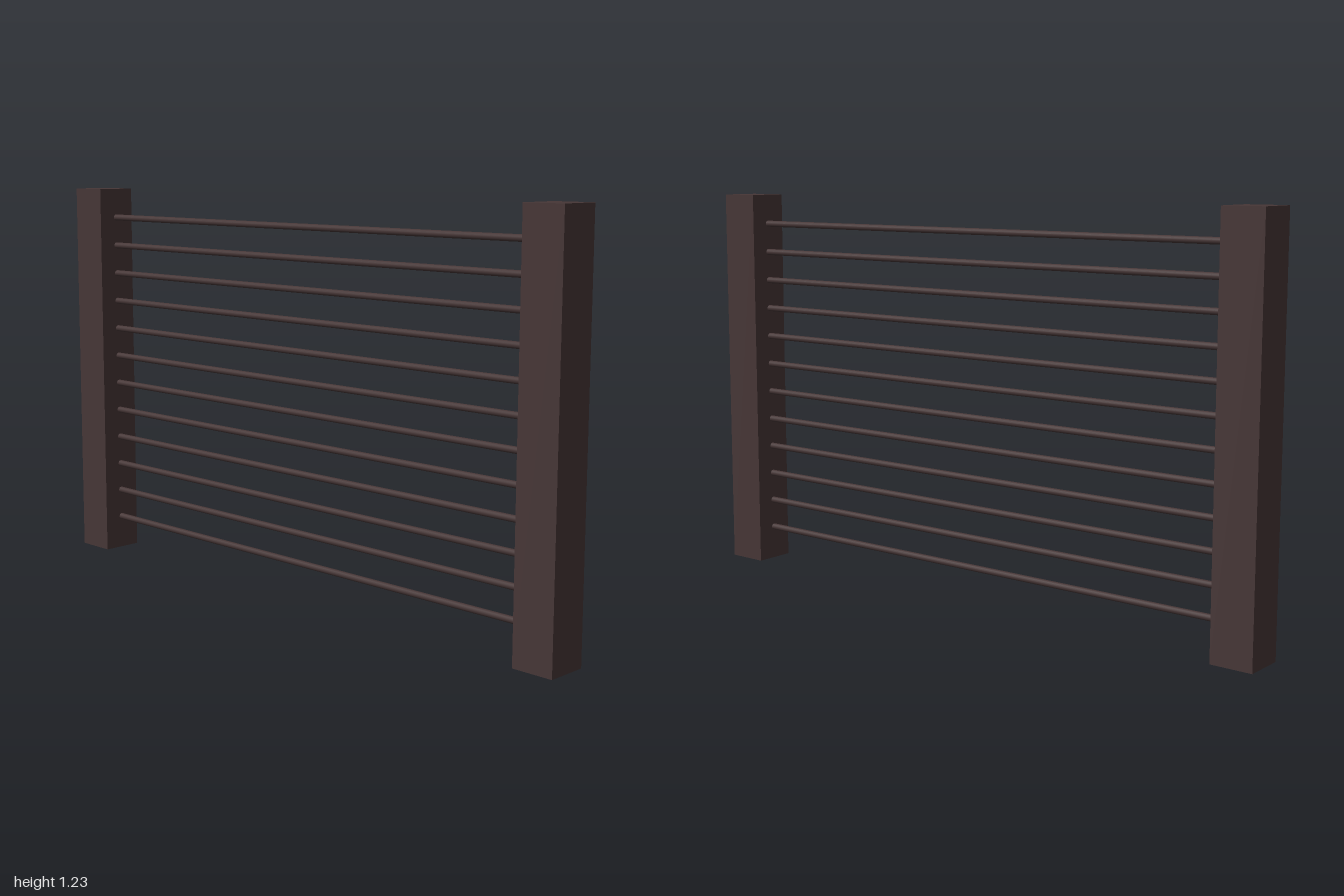
import * as THREE from 'three';

export function createModel() {
  const model = new THREE.Group();
  model.name = 'railing';
  const darkBrown = new THREE.MeshStandardMaterial({ color: 0x463636 });
  darkBrown.name = 'darkBrown';

  const postSize = 0.13, postHeight = 1.23, length = 2;

  // Square end posts
  const postGeometry = new THREE.BoxGeometry(postSize, postHeight, postSize);
  for (const side of [1, -1]) {
    const post = new THREE.Mesh(postGeometry, darkBrown);
    post.name = side > 0 ? 'frontPost' : 'backPost';
    post.position.set(0, postHeight / 2, side * (length - postSize) / 2);
    model.add(post);
  }

  // Evenly spaced round bars, ends set slightly into the posts
  const barCount = 12, lowest = 0.108, highest = 1.135;
  const barGeometry = new THREE.CylinderGeometry(0.01, 0.01, length - 2 * postSize + 0.02, 16);
  barGeometry.rotateX(Math.PI / 2);
  for (let i = 0; i < barCount; i++) {
    const bar = new THREE.Mesh(barGeometry, darkBrown);
    bar.name = `bar${i + 1}`;
    bar.position.y = THREE.MathUtils.lerp(lowest, highest, i / (barCount - 1));
    model.add(bar);
  }
  return model;
}
